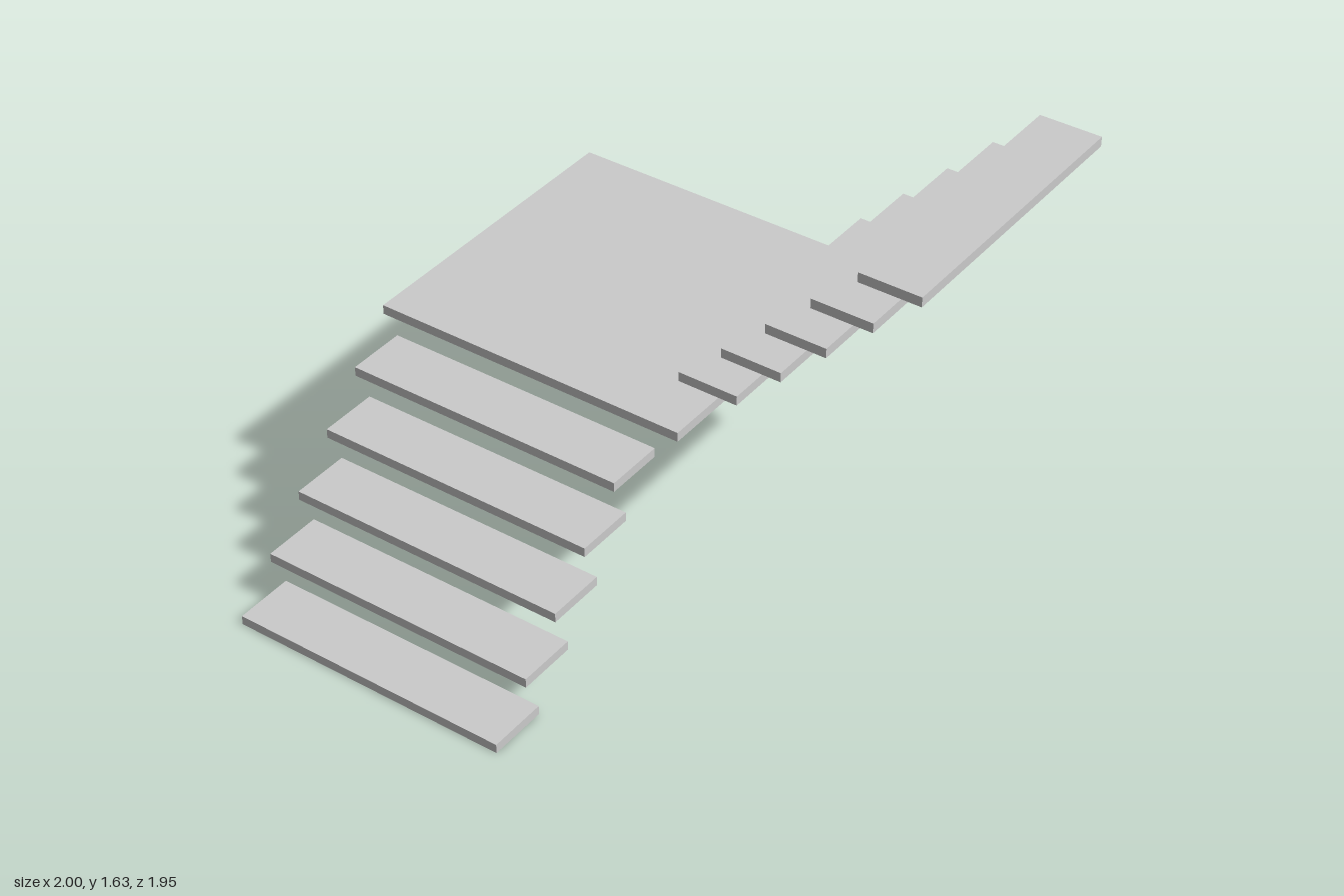
import * as THREE from 'three';

const THICK = 0.035, RISE = 0.16, RUN = 0.16, DEPTH = 0.222, LENGTH = 1.065;
const LEFT = -1, BACK = -0.977, FRONT = 0.977;
const LOWER_STEPS = 5, UPPER_STEPS = 5;

export function createModel() {
  const group = new THREE.Group();
  group.name = 'quarterTurnStairs';
  const material = new THREE.MeshStandardMaterial({ color: 0xcccccc });

  // Slab placed by its minimum x, y, z corner
  const slab = (name, x, y, z, width, depth) => {
    const mesh = new THREE.Mesh(new THREE.BoxGeometry(width, THICK, depth), material);
    mesh.name = name;
    mesh.position.set(x + width / 2, y + THICK / 2, z + depth / 2);
    group.add(mesh);
  };

  // Lower flight climbs toward the back
  for (let i = 0; i < LOWER_STEPS; i++) {
    slab(`lowerStep${i + 1}`, LEFT, i * RISE, FRONT - DEPTH - i * RUN, LENGTH, DEPTH);
  }

  // Landing at the corner
  const landingY = LOWER_STEPS * RISE;
  slab('landing', LEFT, landingY, BACK, 1.198, 1.154);

  // Upper flight climbs toward +x
  for (let i = 0; i < UPPER_STEPS; i++) {
    const x = 1 - DEPTH - (UPPER_STEPS - 1 - i) * RUN;
    slab(`upperStep${i + 1}`, x, landingY + (i + 1) * RISE, BACK, DEPTH, LENGTH);
  }
  return group;
}
